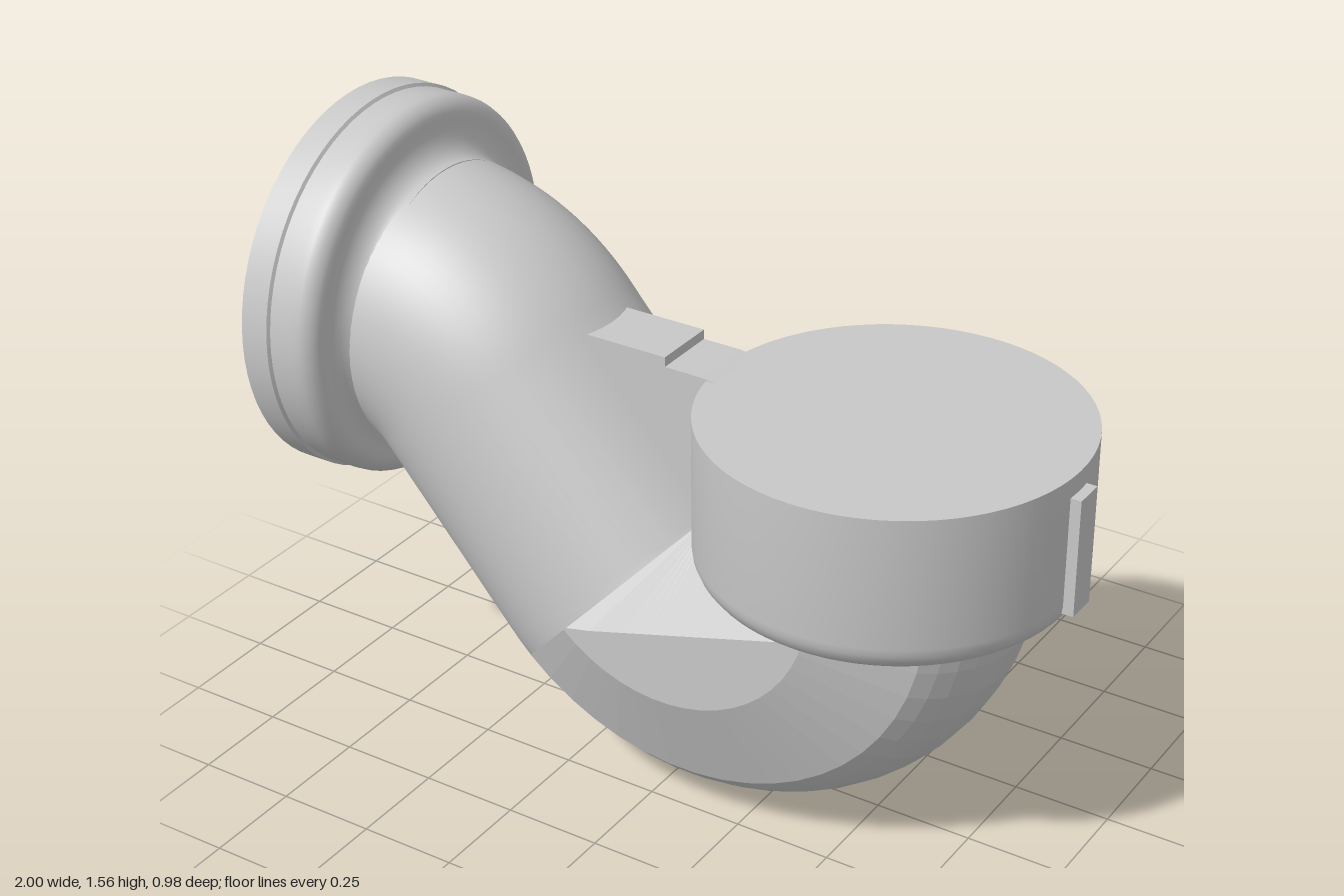
import * as THREE from 'three';
import { toCreasedNormals } from 'three/addons/utils/BufferGeometryUtils.js';

const rad = THREE.MathUtils.degToRad;

// Loft a closed profile of [u, z] through frames {x, y, nx, ny}: each vertex is (x, y) + n * u, at depth z.
// profileAt(i) gives the profile of frame i; caps are fans round the hub.
function loft(frames, profileAt, hub, capStart) {
  const pos = [], idx = [], m = profileAt(0).length, last = frames.length - 1;
  const put = (f, [u, z]) => pos.push(f.x + f.nx * u, f.y + f.ny * u, z);
  frames.forEach((f, i) => profileAt(i).forEach(p => put(f, p)));
  for (let i = 0; i < last; i++) {
    for (let j = 0; j < m; j++) {
      const a = i * m + j, b = i * m + (j + 1) % m;
      idx.push(a, b, a + m, b, b + m, a + m);
    }
  }
  const cap = (i, flip) => {
    const c = pos.length / 3;
    put(frames[i], hub);
    for (let j = 0; j < m; j++) {
      const a = i * m + j, b = i * m + (j + 1) % m;
      idx.push(c, flip ? b : a, flip ? a : b);
    }
  };
  if (capStart) cap(0, true);
  cap(last, false);
  const g = new THREE.BufferGeometry();
  g.setAttribute('position', new THREE.Float32BufferAttribute(pos, 3));
  g.setIndex(idx);
  return g;
}

export function createModel() {
  const group = new THREE.Group();
  const grey = new THREE.MeshStandardMaterial({ color: 0xc8c8c8, side: THREE.DoubleSide });
  grey.name = 'plainGrey';
  const add = (name, geometry) => {
    const mesh = new THREE.Mesh(geometry, grey);
    mesh.name = name;
    group.add(mesh);
    return mesh;
  };
  const v = (x, y) => new THREE.Vector2(x, y);
  const R = 0.36;

  // Collar on the inlet: lathe turned onto the x axis, profile is (radius, x)
  const collar = [v(0, -1), v(0.49, -1), v(0.49, -0.925), v(0.482, -0.92), v(0.482, -0.86)];
  for (let i = 1; i <= 6; i++) {
    const t = rad(i * 15);
    collar.push(v(0.432 + 0.05 * Math.cos(t), -0.85 + 0.05 * Math.sin(t)));
  }
  for (let i = 0; i <= 6; i++) {
    const t = rad(i * 15);
    collar.push(v(0.42 - 0.082 * Math.sin(t), -0.74 - 0.06 * Math.cos(t)));
  }
  collar.push(v(0, -0.74));
  const inlet = add('inletCollar', toCreasedNormals(new THREE.LatheGeometry(collar, 72), 0.5));
  inlet.rotation.z = -Math.PI / 2;
  inlet.position.y = 1.07;

  // Round pipe: bending 50 degrees down from the collar, then straight into the trap
  const bendX = 0.1, bendY = 0.77, bendR = 0.41;
  const frames = [];
  for (let i = 0; i <= 20; i++) {
    const t = rad(i * 2.5), nx = Math.sin(t), ny = Math.cos(t);
    frames.push({ x: -0.855 + 0.37 * nx, y: 0.685 + 0.37 * ny, nx, ny });
  }
  for (let deg = 50; deg >= 43; deg -= 3.5) {
    const t = rad(deg), nx = Math.sin(t), ny = Math.cos(t);
    frames.push({ x: bendX - bendR * nx, y: bendY - bendR * ny, nx, ny });
  }
  const circle = [];
  for (let i = 0; i < 64; i++) {
    const t = (i / 64) * Math.PI * 2;
    circle.push([R * Math.cos(t), R * Math.sin(t)]);
  }
  add('slopingPipe', toCreasedNormals(loft(frames, () => circle, [0, 0], true), 0.5));

  // U-bend: round outside, bevelled in front, dished behind;
  // its flat front ends at a straight edge that slopes down into the crotch
  const angles = [], bendFrames = [];
  for (let i = 0; i <= 20; i++) {
    const a = rad(227 + (i * 133) / 20);
    angles.push(a);
    bendFrames.push({ x: bendX, y: bendY, nx: Math.cos(a), ny: Math.sin(a) });
  }
  const outer = [];
  for (let i = 0; i <= 12; i++) {
    const t = rad(48.5 - (i * 97) / 12);
    outer.push([bendR + R * Math.cos(t), R * Math.sin(t)]);
  }
  const section = i => {
    const edge = Math.min(0.39, 0.205 / Math.max(0.1, Math.cos(angles[i] - rad(286))));
    return [...outer, [0.01, 0], [0.01, 0.12], [edge, 0.363], [0.4, 0.363]];
  };
  const bend = loft(bendFrames, section, [0.4, 0.03], true).toNonIndexed();
  bend.computeVertexNormals();
  add('trapBend', bend);

  // Outlet cup with a rounded lower rim
  const cup = [v(0, 0.685)];
  for (let i = 0; i <= 6; i++) {
    const t = rad(i * 15);
    cup.push(v(0.39 + 0.075 * Math.sin(t), 0.76 - 0.075 * Math.cos(t)));
  }
  cup.push(v(0.465, 1.09), v(0, 1.09));
  add('outletCup', toCreasedNormals(new THREE.LatheGeometry(cup, 72), 0.5)).position.x = 0.51;

  // Small rib on the outer side of the cup
  add('cupRib', new THREE.BoxGeometry(0.05, 0.3, 0.08)).position.set(0.975, 0.89, 0);

  // Web joining the cup to the sloping pipe, stepped along its top
  const web = new THREE.Shape([
    v(-0.28, 1.12), v(-0.28, 1.0), v(0.02, 0.73), v(0.12, 0.73), v(0.12, 1.085),
    v(0.04, 1.095), v(-0.06, 1.095), v(-0.06, 1.12),
  ]);
  const webGeometry = new THREE.ExtrudeGeometry(web, { depth: 0.17, bevelEnabled: false });
  add('joiningWeb', webGeometry.translate(0, 0, -0.085));

  return group;
}
